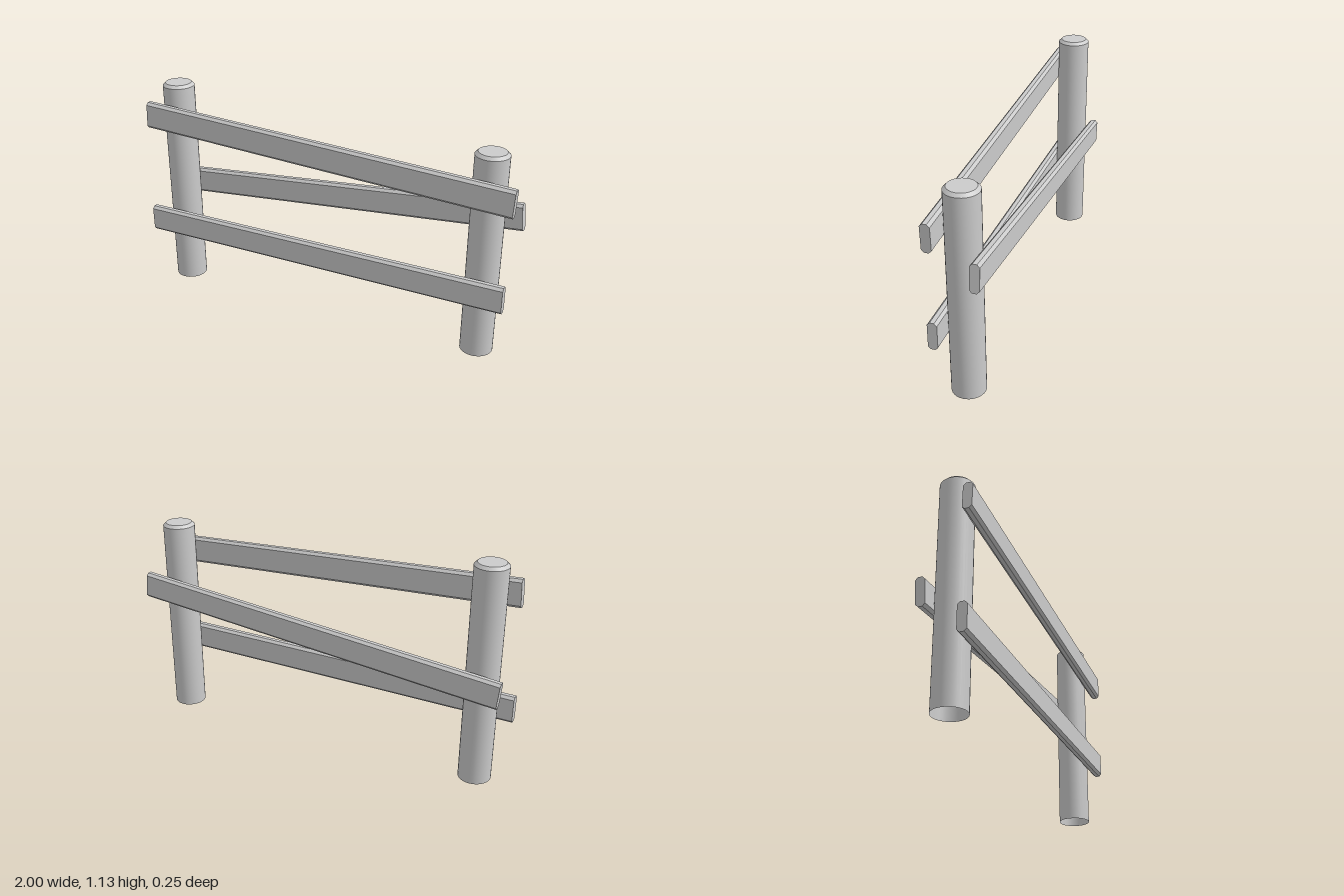
import * as THREE from 'three';
import { toCreasedNormals } from 'three/addons/utils/BufferGeometryUtils.js';

const material = new THREE.MeshStandardMaterial({ color: 0xcccccc });
const openMaterial = new THREE.MeshStandardMaterial({ color: 0xcccccc, side: THREE.DoubleSide });

// Round post, open underneath, with a bevelled top
function makePost(name, x, height) {
  const profile = [[0.082, 0], [0.082, height - 0.015], [0.067, height], [0, height]]
    .map(([r, y]) => new THREE.Vector2(r, y));
  const geometry = toCreasedNormals(new THREE.LatheGeometry(profile, 32), 0.5);
  const post = new THREE.Mesh(geometry, openMaterial);
  post.name = name;
  post.position.x = x;
  return post;
}

// Straight rail with chamfered long edges, tilted about z
function makeRail(name, x, y, z, length, height, tilt) {
  const w = 0.0235, h = height / 2, c = 0.013;
  const section = new THREE.Shape([
    [w, -h + c], [w, h - c], [w - c, h], [-w + c, h],
    [-w, h - c], [-w, -h + c], [-w + c, -h], [w - c, -h],
  ].map(([u, v]) => new THREE.Vector2(u, v)));
  const geometry = new THREE.ExtrudeGeometry(section, { depth: length, bevelEnabled: false });
  geometry.translate(0, 0, -length / 2).rotateY(Math.PI / 2);
  const rail = new THREE.Mesh(geometry, material);
  rail.name = name;
  rail.position.set(x, y, z);
  rail.rotation.z = tilt;
  return rail;
}

export function createModel() {
  const fence = new THREE.Group();
  fence.name = 'fence';
  fence.add(
    makePost('rightPost', -0.86, 1.128),
    makePost('leftPost', 0.84, 1.056),
    makeRail('topRail', 0.004, 0.916, 0.105, 1.977, 0.14, -0.047),
    makeRail('middleRail', 0.005, 0.62, -0.102, 1.972, 0.137, 0.095),
    makeRail('bottomRail', -0.01, 0.364, 0.105, 1.98, 0.14, 0.005),
  );
  return fence;
}
